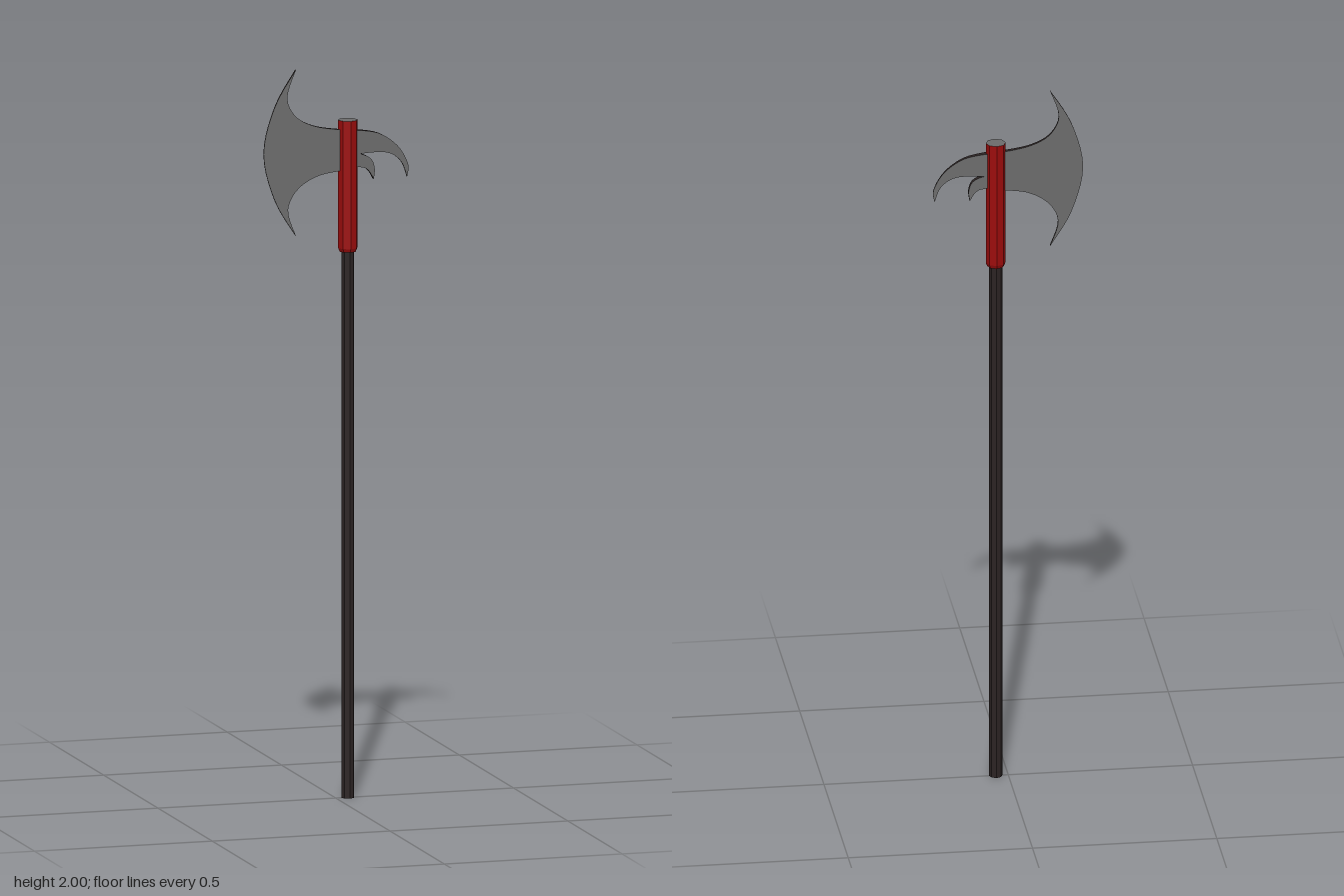
import * as THREE from 'three';

const steel = new THREE.MeshStandardMaterial({ color: 0x6c6c6c });
steel.name = 'steel grey';
const red = new THREE.MeshStandardMaterial({ color: 0x9c0c0c });
red.name = 'collar red';
const dark = new THREE.MeshStandardMaterial({ color: 0x2b2323 });
dark.name = 'dark wood';

const POLE_X = 0.034;

// Faceted eight-sided rod between two heights
function rod(name, rBottom, rTop, y0, y1, materials) {
  const indexed = new THREE.CylinderGeometry(rTop, rBottom, y1 - y0, 8);
  const geo = indexed.toNonIndexed();
  geo.computeVertexNormals();
  const mesh = new THREE.Mesh(geo, materials);
  // groups: side, top cap, bottom cap
  geo.clearGroups();
  indexed.groups.forEach(g => geo.addGroup(g.start, g.count, g.materialIndex));
  mesh.name = name;
  mesh.position.set(POLE_X, (y0 + y1) / 2, 0);
  return mesh;
}

// Flat plate bounded by splines, thinning from xRoot to xTip
function plate(name, splines, xRoot, xTip, halfRoot, halfTip) {
  const shape = new THREE.Shape();
  shape.moveTo(...splines[0][0]);
  splines.forEach((pts, i) => {
    const rest = pts.slice(1).map(p => new THREE.Vector2(...p));
    if (i > 0) shape.lineTo(...pts[0]);
    shape.splineThru(rest);
  });
  shape.closePath();
  const geo = new THREE.ExtrudeGeometry(shape, { depth: 2, bevelEnabled: false, curveSegments: 4 });
  geo.translate(0, 0, -1);
  const pos = geo.attributes.position;
  for (let i = 0; i < pos.count; i++) {
    const t = THREE.MathUtils.clamp((pos.getX(i) - xRoot) / (xTip - xRoot), 0, 1);
    pos.setZ(i, pos.getZ(i) * THREE.MathUtils.lerp(halfRoot, halfTip, t));
  }
  geo.computeVertexNormals();
  const mesh = new THREE.Mesh(geo, [steel, dark]);
  mesh.name = name;
  return mesh;
}

export function createModel() {
  const axe = new THREE.Group();
  axe.name = 'battleAxe';

  // Pole and collar
  axe.add(rod('shaft', 0.018, 0.018, 0, 1.52, [dark, dark, dark]));
  axe.add(rod('collarLip', 0.023, 0.027, 1.495, 1.505, [red, red, red]));
  axe.add(rod('collar', 0.027, 0.027, 1.505, 1.855, [red, steel, red]));

  // Crescent blade
  axe.add(plate('blade', [
    [[0.034, 1.829], [0.01, 1.83], [-0.06, 1.843], [-0.113, 1.872], [-0.137, 1.925], [-0.113, 2.0]],
    [[-0.113, 2.0], [-0.172, 1.9], [-0.203, 1.773], [-0.172, 1.645], [-0.113, 1.545]],
    [[-0.113, 1.545], [-0.135, 1.615], [-0.11, 1.67], [-0.055, 1.705], [0.01, 1.717], [0.034, 1.718]],
  ], 0.034, -0.203, 0.007, 0.0015));

  // Large back hook
  axe.add(plate('upperHook', [
    [[0.034, 1.826], [0.07, 1.825], [0.125, 1.812], [0.175, 1.775], [0.203, 1.725], [0.2, 1.69]],
    [[0.2, 1.69], [0.184, 1.732], [0.15, 1.758], [0.1, 1.763], [0.034, 1.758]],
  ], 0.05, 0.203, 0.0085, 0.002));

  // Small back hook
  axe.add(plate('lowerHook', [
    [[0.034, 1.762], [0.07, 1.76], [0.098, 1.745], [0.108, 1.718], [0.105, 1.69]],
    [[0.105, 1.69], [0.092, 1.712], [0.075, 1.723], [0.034, 1.728]],
  ], 0.05, 0.203, 0.0083, 0.002));

  return axe;
}
